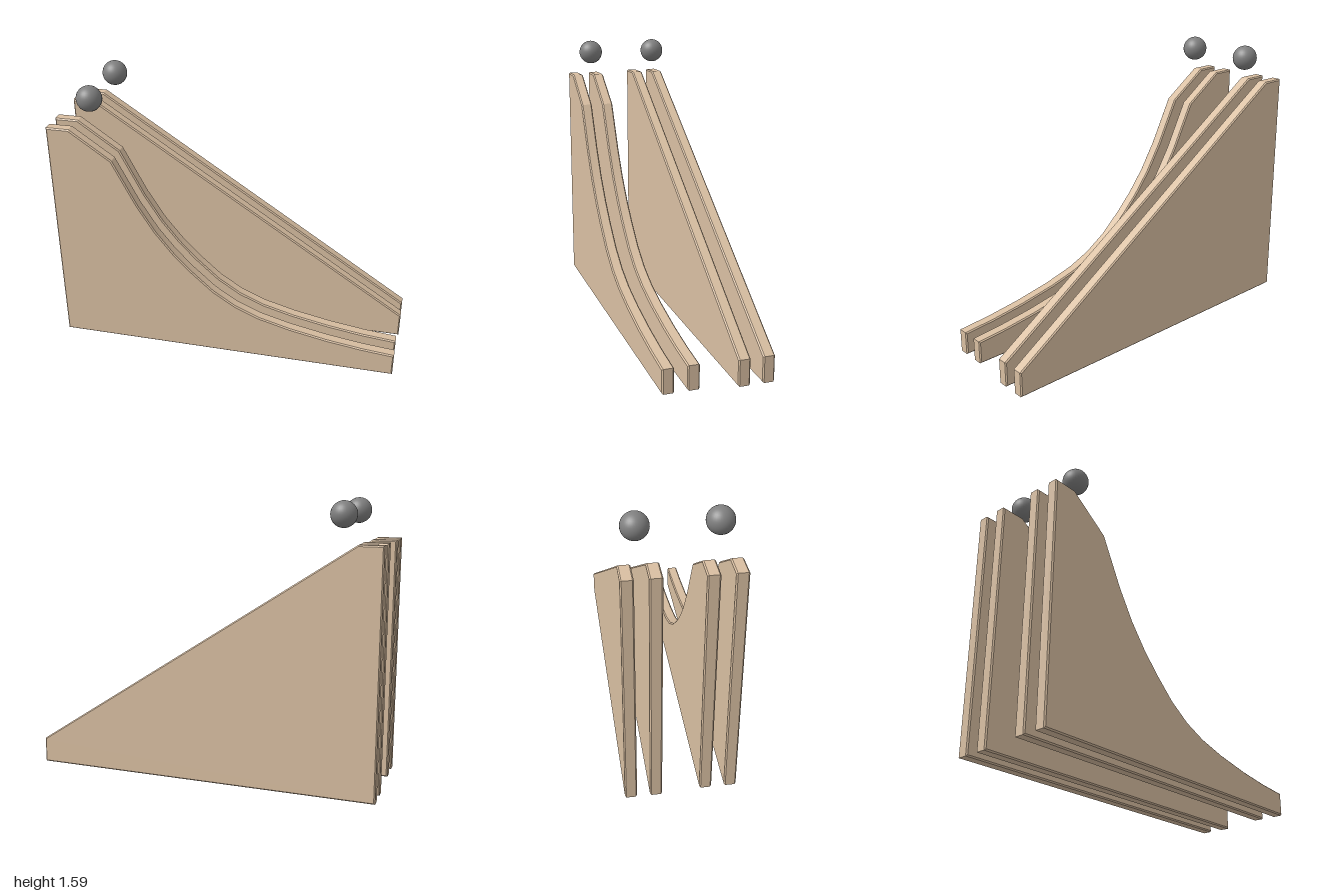
import * as THREE from 'three';
import { toCreasedNormals } from 'three/addons/utils/BufferGeometryUtils.js';

const wood = new THREE.MeshStandardMaterial({ color: 0xd9bfa2 });
wood.name = 'wood';
const steel = new THREE.MeshStandardMaterial({ color: 0x808080 });
steel.name = 'steel';

const THICKNESS = 0.065;
const BEVEL = 0.007;

// Side profile extruded to a board with slightly chamfered edges
function boardGeometry(points) {
  const shape = new THREE.Shape(points.map(([x, y]) => new THREE.Vector2(x, y)));
  const geometry = new THREE.ExtrudeGeometry(shape, {
    depth: THICKNESS - 2 * BEVEL,
    bevelEnabled: true,
    bevelSize: BEVEL,
    bevelThickness: BEVEL,
    bevelOffset: -BEVEL,
    bevelSegments: 1,
  });
  geometry.translate(0, 0, -THICKNESS / 2 + BEVEL);
  return toCreasedNormals(geometry, 0.35);
}

export function createModel() {
  const model = new THREE.Group();
  model.name = 'ballRaceRamps';

  // Straight slope
  const straight = boardGeometry([
    [-1, 0], [1, 0], [1, 0.145], [-0.865, 1.373], [-1, 1.373],
  ]);

  // Steep drop that flattens out
  const curved = boardGeometry([
    [-1, 0.015], [0.987, 0.015], [0.987, 0.15],
    [0.8, 0.167], [0.6, 0.195], [0.38, 0.238], [0.2, 0.287], [0.06, 0.347],
    [-0.07, 0.432], [-0.2, 0.55], [-0.3, 0.655], [-0.4, 0.782], [-0.5, 0.943],
    [-0.634, 1.205], [-0.868, 1.367], [-1, 1.367],
  ]);

  const ball = new THREE.SphereGeometry(0.071, 32, 20);

  // Each ramp is a pair of boards with a ball above the gap
  for (const [name, geometry, side] of [['curved', curved, 1], ['straight', straight, -1]]) {
    const ramp = new THREE.Group();
    ramp.name = name + 'Ramp';
    for (const [label, z] of [['Inner', 0.133], ['Outer', 0.267]]) {
      const board = new THREE.Mesh(geometry, wood);
      board.name = name + label + 'Board';
      board.position.z = side * z;
      ramp.add(board);
    }
    const sphere = new THREE.Mesh(ball, steel);
    sphere.name = name + 'RampBall';
    sphere.position.set(-0.77, 1.521, side * 0.203);
    ramp.add(sphere);
    model.add(ramp);
  }
  return model;
}
